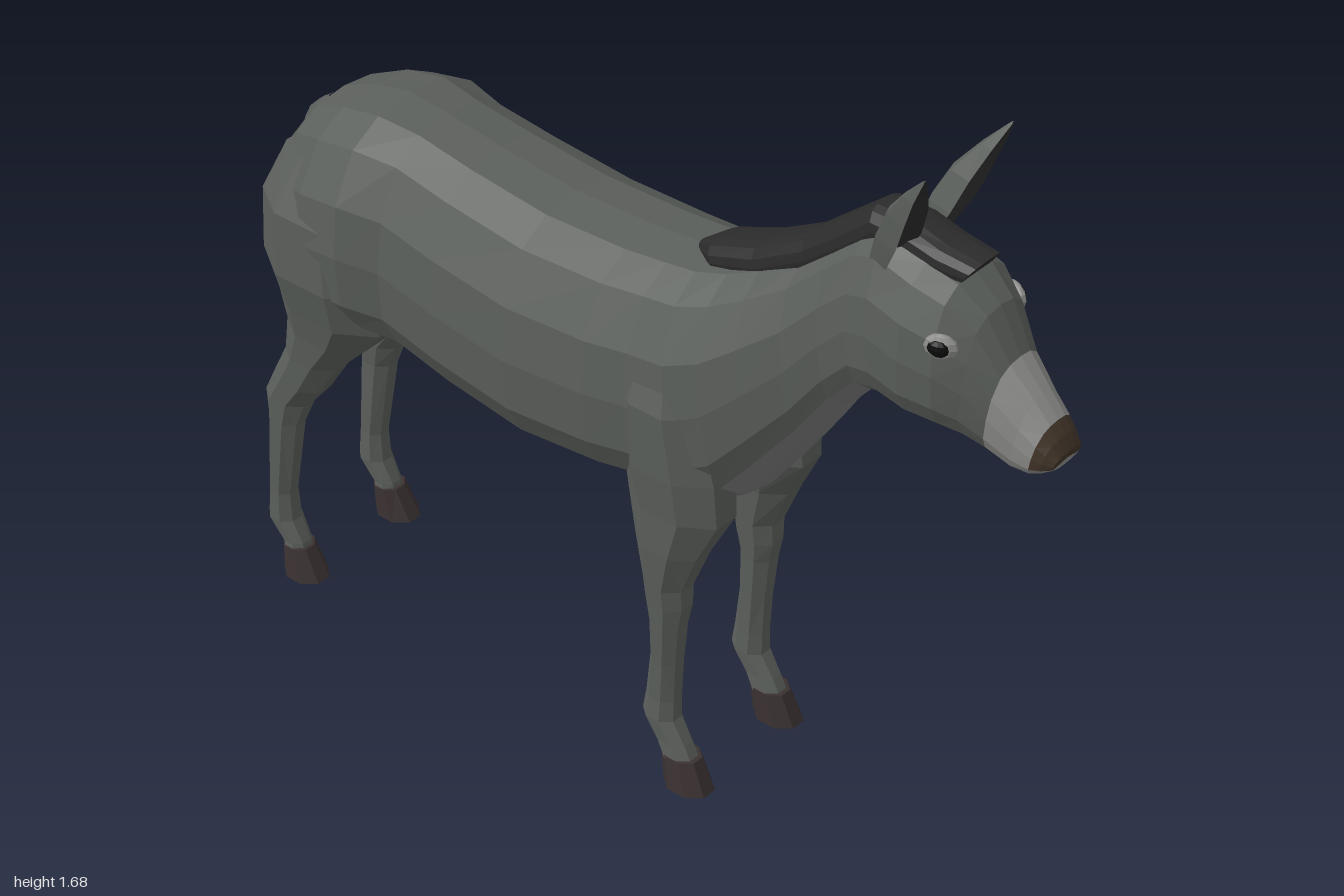
import * as THREE from 'three';

const paint = (color) => new THREE.MeshStandardMaterial({ color, flatShading: true });
const COAT = paint(0x5b5f5b), PALE = paint(0x787878), DARK = paint(0x2b2b2b), MUZZLE = paint(0x8c8c8a);
const NOSE = paint(0x43362a), HOOF = paint(0x3a3131), EYE = paint(0x0c0c0c);

// Skins a list of equal-length point rings and caps both ends; pick(i, j) chooses a material per quad
function loft(name, rings, mats, pick = () => 0) {
  const n = rings[0].length, pts = rings.flat(), faces = mats.map(() => []);
  for (let i = 0; i < rings.length - 1; i++) for (let j = 0; j < n; j++) {
    const a = i * n + j, b = i * n + (j + 1) % n;
    faces[pick(i, j)].push([a, b, b + n], [a, b + n, a + n]);
  }
  [0, rings.length - 1].forEach((r, end) => {
    const c = pts.length, at = new THREE.Vector3();
    rings[r].forEach((p) => at.addScaledVector(p, 1 / n));
    pts.push(at);
    for (let j = 0; j < n; j++) {
      const a = r * n + j, b = r * n + (j + 1) % n;
      faces[pick(Math.min(r, rings.length - 2), j)].push(end ? [a, b, c] : [b, a, c]);
    }
  });
  // Turn the faces outward whatever the ring direction
  let volume = 0;
  faces.flat().forEach(([a, b, c]) => { volume += pts[a].dot(pts[b].clone().cross(pts[c])); });
  const geo = new THREE.BufferGeometry().setFromPoints(pts), index = [];
  faces.forEach((list, m) => {
    geo.addGroup(index.length, list.length * 3, m);
    list.forEach(([a, b, c]) => index.push(...(volume > 0 ? [a, b, c] : [a, c, b])));
  });
  geo.setIndex(index);
  geo.computeVertexNormals();
  const mesh = new THREE.Mesh(geo, mats);
  mesh.name = name;
  return mesh;
}

// Half outline of a trunk slice: [fraction from top to bottom, fraction of half width]
const HALF = [[0, 0], [0.02, 0.4], [0.1, 0.72], [0.3, 0.95], [0.52, 1], [0.74, 0.95], [0.87, 0.78], [0.97, 0.42], [1, 0]];
const OUTLINE = [...HALF, ...HALF.slice(1, -1).reverse().map(([t, f]) => [t, -f])];

// The head is turned a touch to one side
const shift = (z) => -0.015 * THREE.MathUtils.clamp((z - 0.3) / 0.3, 0, 1);

// Slice from a top point (z, y) to a bottom point (z, y) with half width w
const slice = ([tz, ty, bz, by, w]) => OUTLINE.map(([t, f]) =>
  new THREE.Vector3(f * w + shift(tz), ty + (by - ty) * t, tz + (bz - tz) * t));

// Horizontal eight-sided slice of a limb
const limbRing = (side) => ([y, z0, z1, x0, x1]) => Array.from({ length: 8 }, (_, k) => {
  const a = (k + 0.5) * Math.PI / 4, s = 0.5 / Math.cos(Math.PI / 8);
  return new THREE.Vector3(side * ((x0 + x1) / 2 + Math.cos(a) * s * (x1 - x0)), y, (z0 + z1) / 2 + Math.sin(a) * s * (z1 - z0));
});

// Rump to throat to brow: [top z, top y, bottom z, bottom y, half width]
const TRUNK = [
  [-0.915, 1.05, -0.915, 0.88, 0.06], [-0.89, 1.115, -0.895, 0.79, 0.14], [-0.83, 1.185, -0.84, 0.72, 0.195],
  [-0.74, 1.225, -0.76, 0.70, 0.235], [-0.64, 1.245, -0.64, 0.705, 0.242], [-0.54, 1.235, -0.55, 0.70, 0.215],
  [-0.4, 1.215, -0.4, 0.67, 0.222], [-0.2, 1.195, -0.2, 0.645, 0.228], [0, 1.2, 0, 0.66, 0.222],
  [0.1, 1.21, 0.1, 0.675, 0.212], [0.17, 1.22, 0.22, 0.68, 0.21], [0.24, 1.24, 0.3, 0.725, 0.19],
  [0.31, 1.27, 0.37, 0.82, 0.163], [0.4, 1.32, 0.44, 0.92, 0.13], [0.48, 1.39, 0.51, 1.03, 0.113],
  [0.55, 1.45, 0.57, 1.1, 0.112], [0.61, 1.48, 0.63, 1.115, 0.125], [0.7, 1.46, 0.7, 1.11, 0.135],
  [0.77, 1.44, 0.77, 1.11, 0.125], [0.83, 1.39, 0.81, 1.1, 0.098], [0.88, 1.3, 0.85, 1.09, 0.077],
];
const SNOUT = [
  TRUNK[TRUNK.length - 1], [0.935, 1.24, 0.9, 1.07, 0.062], [0.97, 1.2, 0.94, 1.075, 0.057],
  [0.987, 1.175, 0.965, 1.09, 0.052], [1, 1.145, 0.99, 1.11, 0.042],
];
const MANE = [
  [0.12, 1.22, 0.14, 1.18, 0.02], [0.17, 1.255, 0.2, 1.19, 0.06], [0.28, 1.3, 0.31, 1.22, 0.065],
  [0.4, 1.37, 0.43, 1.29, 0.06], [0.5, 1.455, 0.53, 1.37, 0.055], [0.56, 1.505, 0.58, 1.42, 0.055],
  [0.65, 1.505, 0.64, 1.42, 0.055], [0.72, 1.485, 0.71, 1.42, 0.055], [0.8, 1.475, 0.765, 1.425, 0.05],
];

// Limbs: [y, back z, front z, inner x, outer x]
const FORE = [
  [1.08, 0.08, 0.22, 0.1, 0.18], [0.95, 0.06, 0.26, 0.07, 0.22], [0.8, 0.06, 0.29, 0.05, 0.215],
  [0.7, 0.07, 0.295, 0.06, 0.205], [0.6, 0.09, 0.245, 0.085, 0.2], [0.5, 0.105, 0.205, 0.095, 0.19],
  [0.45, 0.11, 0.205, 0.1, 0.185], [0.4, 0.12, 0.195, 0.105, 0.182], [0.3, 0.12, 0.185, 0.108, 0.175],
  [0.2, 0.108, 0.18, 0.11, 0.172], [0.15, 0.1, 0.18, 0.108, 0.175], [0.1, 0.13, 0.21, 0.112, 0.172], [0.06, 0.15, 0.23, 0.11, 0.174],
];
const HIND = [
  [1.12, -0.85, -0.63, 0.08, 0.18], [1, -0.9, -0.6, 0.04, 0.235], [0.85, -0.91, -0.585, 0.025, 0.238],
  [0.75, -0.885, -0.6, 0.035, 0.215], [0.68, -0.87, -0.66, 0.06, 0.2], [0.6, -0.88, -0.74, 0.085, 0.19],
  [0.52, -0.92, -0.79, 0.095, 0.185], [0.46, -0.95, -0.84, 0.1, 0.18], [0.4, -0.945, -0.865, 0.108, 0.178],
  [0.2, -0.96, -0.9, 0.112, 0.172], [0.13, -0.965, -0.895, 0.108, 0.175], [0.08, -0.925, -0.87, 0.113, 0.17], [0.055, -0.92, -0.865, 0.11, 0.173],
];
const FORE_HOOF = [[0.07, 0.15, 0.235, 0.108, 0.176], [0, 0.16, 0.268, 0.102, 0.187]];
const HIND_HOOF = [[0.07, -0.925, -0.86, 0.108, 0.176], [0, -0.922, -0.82, 0.102, 0.187]];

// Ears: [x, y, z, half width, depth]
const EAR = [
  [0.065, 1.41, 0.605, 0.024, 0.026], [0.08, 1.5, 0.645, 0.038, 0.036], [0.095, 1.57, 0.675, 0.035, 0.032],
  [0.115, 1.63, 0.71, 0.022, 0.018], [0.13, 1.68, 0.743, 0.003, 0.003],
];
const EAR_OUTLINE = [[-1, 0.9], [-0.65, -0.7], [0, -1], [0.65, -0.7], [1, 0.9], [0, -0.1]];

export function createModel() {
  const donkey = new THREE.Group();
  donkey.name = 'donkey';

  // Trunk, neck and skull in one skin, with a pale belly and throat
  donkey.add(loft('body', TRUNK.map(slice), [COAT, PALE], (i, j) => (i > 4 && i < 15 && j >= 6 && j <= 9 ? 1 : 0)));
  donkey.add(loft('muzzle', SNOUT.map(slice), [MUZZLE, NOSE], (i, j) => (i > 1 && (j < 5 || j > 10) ? 1 : 0)));
  donkey.add(loft('mane', MANE.map(slice), [DARK]));

  for (const side of [1, -1]) {
    const word = side > 0 ? 'left' : 'right', ring = limbRing(side);
    donkey.add(
      loft(word + 'ForeLeg', FORE.map(ring), [COAT]),
      loft(word + 'HindLeg', HIND.map(ring), [COAT]),
      loft(word + 'ForeHoof', FORE_HOOF.map(ring), [HOOF]),
      loft(word + 'HindHoof', HIND_HOOF.map(ring), [HOOF]),
    );
    // Cupped ear with a dark hollow
    const earRings = EAR.map(([x, y, z, w, d]) => EAR_OUTLINE.map(([u, v]) =>
      new THREE.Vector3(side * (x + u * w) - 0.015, y, z + v * d)));
    donkey.add(loft(word + 'Ear', earRings, [COAT, DARK], (i, j) => (j > 3 ? 1 : 0)));
    // Eye with a pale rim
    [['EyeRim', 0.034, 0.111, MUZZLE, 0.4], ['Eye', 0.023, 0.117, EYE, 0.6]].forEach(([part, r, x, mat, flat]) => {
      const eye = new THREE.Mesh(new THREE.SphereGeometry(r, 10, 6), mat);
      eye.name = word + part;
      eye.scale.set(flat, 0.8, 1);
      eye.rotation.y = side * -0.35;
      eye.position.set(side * x - 0.015, 1.335, 0.782);
      donkey.add(eye);
    });
  }

  // Tail and its tuft
  const path = new THREE.CatmullRomCurve3([[0, 1.14, -0.86], [0, 1.1, -0.91], [0.004, 1.0, -0.95], [0.01, 0.88, -0.965], [0.012, 0.76, -0.972]]
    .map((p) => new THREE.Vector3(...p)));
  const tail = new THREE.Mesh(new THREE.TubeGeometry(path, 12, 0.015, 6), COAT);
  tail.name = 'tail';
  const tuft = [[0.82, -0.98, -0.957, 0, 0.022], [0.68, -1, -0.943, -0.012, 0.036], [0.62, -0.992, -0.948, -0.008, 0.036], [0.53, -0.968, -0.962, 0.017, 0.023]];
  donkey.add(tail, loft('tailTuft', tuft.map(limbRing(1)), [DARK]));
  return donkey;
}
